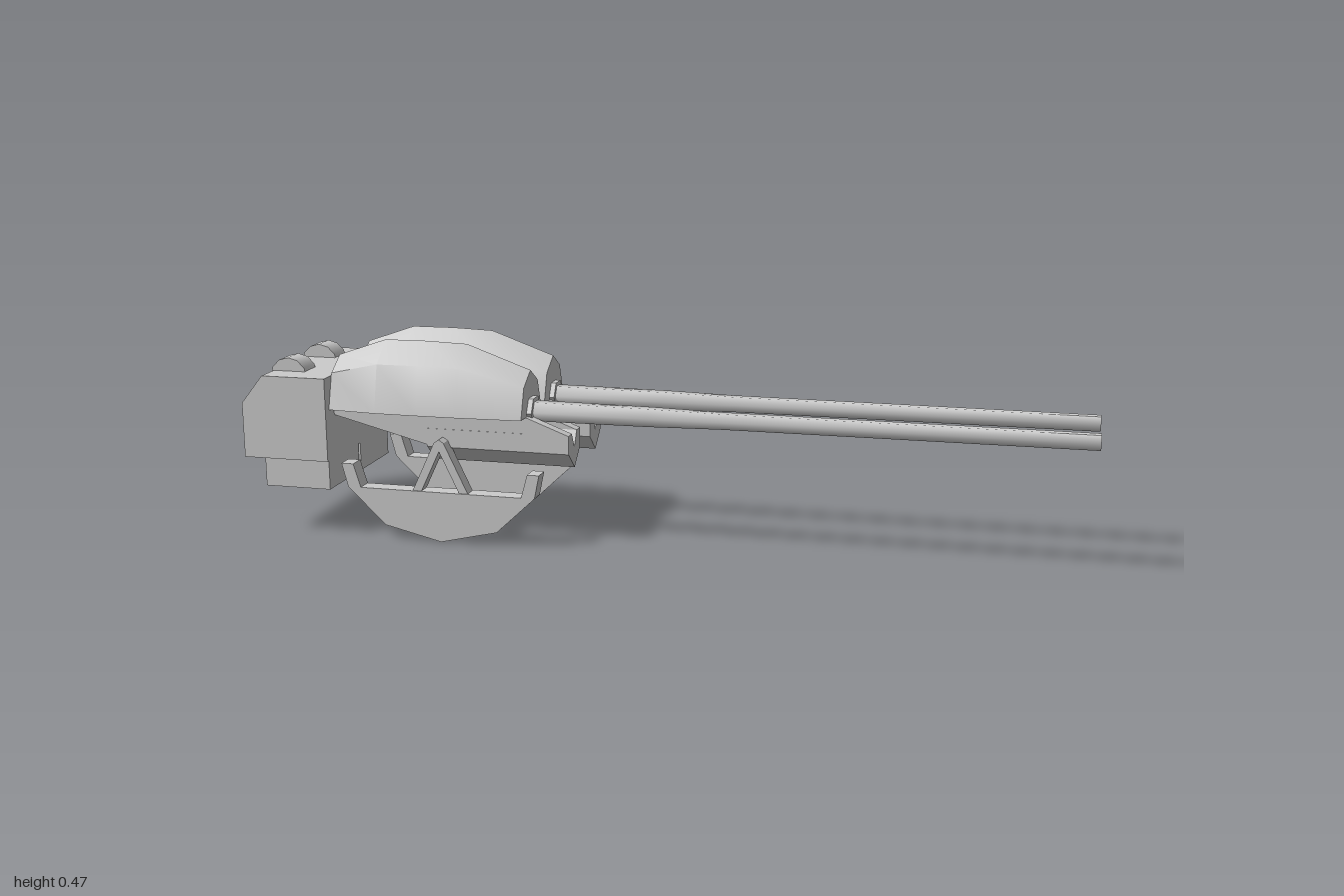
import * as THREE from 'three';
import { toCreasedNormals } from 'three/addons/utils/BufferGeometryUtils.js';

const material = new THREE.MeshStandardMaterial({ color: 0xcccccc });
const GUN_Z = 0.09;
const AXIS_Y = 0.318;

function add(parent, name, geometry, crease = 0.5) {
  const mesh = new THREE.Mesh(toCreasedNormals(geometry, crease), material);
  mesh.name = name;
  parent.add(mesh);
  return mesh;
}

// Side outline in (x, y), extruded from z0 to z1
function plate(points, z0, z1) {
  const shape = new THREE.Shape(points.map(([x, y]) => new THREE.Vector2(x, y)));
  const g = new THREE.ExtrudeGeometry(shape, { depth: z1 - z0, bevelEnabled: false });
  return g.translate(0, 0, z0);
}

// Cross-section in (z, y), extruded along x from x0 to x1
function beam(points, x0, x1) {
  const g = plate(points.map(([z, y]) => [-z, y]), x0, x1);
  return g.rotateY(Math.PI / 2);
}

function box(x0, x1, y0, y1, z0, z1) {
  return new THREE.BoxGeometry(x1 - x0, y1 - y0, z1 - z0)
    .translate((x0 + x1) / 2, (y0 + y1) / 2, (z0 + z1) / 2);
}

// Six-sided turned part along x; profile pairs are (radius, x)
function turned(profile) {
  return new THREE.LatheGeometry(profile.map(([r, x]) => new THREE.Vector2(r, x)), 6)
    .rotateZ(-Math.PI / 2);
}

// Skin a row of closed sections, with fan caps at both ends
function loft(sections) {
  const n = sections[0].length;
  const index = [];
  for (let s = 0; s < sections.length - 1; s++) {
    for (let i = 0; i < n; i++) {
      const a = s * n + i, b = s * n + (i + 1) % n;
      index.push(a, b, b + n, a, b + n, a + n);
    }
  }
  const last = (sections.length - 1) * n;
  for (let i = 1; i < n - 1; i++) {
    index.push(0, i + 1, i, last, last + i, last + i + 1);
  }
  const g = new THREE.BufferGeometry();
  g.setAttribute('position', new THREE.Float32BufferAttribute(sections.flat(2), 3));
  g.setIndex(index);
  return g;
}

// Pentagonal cowl section: floor, shoulders and ridge
function cowlSection([x, peak, shoulderY, shoulderZ, baseZ]) {
  return [[x, 0.31, baseZ], [x, 0.31, -baseZ], [x, shoulderY, -shoulderZ],
    [x, peak, 0], [x, shoulderY, shoulderZ]];
}

function createGun(side) {
  const gun = new THREE.Group();
  gun.name = side > 0 ? 'leftGun' : 'rightGun';
  gun.position.z = side * GUN_Z;

  // Domed cowl
  const rows = [
    [-0.785, 0.43, 0.395, 0.052, 0.076],
    [-0.665, 0.472, 0.423, 0.061, 0.087],
    [-0.56, 0.473, 0.424, 0.062, 0.088],
    [-0.46, 0.47, 0.422, 0.061, 0.087],
    [-0.305, 0.415, 0.382, 0.053, 0.078],
  ];
  add(gun, 'cowl', loft(rows.map(cowlSection)), 0.7);

  // Collar and hollow barrel
  add(gun, 'collar', turned([[0, -0.31], [0.037, -0.31], [0.037, -0.293], [0, -0.293]]))
    .position.y = AXIS_Y;
  add(gun, 'barrel', turned([[0.026, -0.3], [0.0245, -0.02], [0.021, 0.15], [0.02, 1],
    [0.015, 1], [0.013, 0.96], [0, 0.95]]), 1.1).position.y = AXIS_Y;

  // Wedge under the cowl and the notched, keeled trough
  add(gun, 'underbody', plate([[-0.785, 0.31], [-0.785, 0.292], [-0.55, 0.232],
    [-0.305, 0.232], [-0.305, 0.31]], -0.047, 0.047));
  add(gun, 'trough', beam([[-0.048, 0.272], [-0.048, 0.228], [0, 0.186], [0.048, 0.228],
    [0.048, 0.272], [0.02, 0.272], [0, 0.235], [-0.02, 0.272]], -0.55, -0.2));
  for (const s of [-1, 1]) {
    const rail = plate([[-0.31, 0.31], [-0.31, 0.27], [-0.2, 0.27], [-0.2, 0.272],
      [-0.3, 0.31]], -0.014, 0.014);
    add(gun, 'troughRail', rail.translate(0, 0, s * 0.034));
  }
  return gun;
}

function createRocker(side) {
  const rocker = new THREE.Group();
  rocker.name = side > 0 ? 'leftRocker' : 'rightRocker';
  rocker.position.z = side * 0.15;

  // Curved runner with upturned ends
  add(rocker, 'runner', plate([[-0.757, 0.182], [-0.742, 0.125], [-0.65, 0.036],
    [-0.51, 0.003], [-0.37, 0.036], [-0.275, 0.125], [-0.263, 0.182], [-0.292, 0.182],
    [-0.308, 0.125], [-0.71, 0.125], [-0.727, 0.182]], -0.021, 0.021), 0.6);

  // A-frame joining runner and gun
  for (const s of [-1, 1]) {
    const points = [[0, 0.253], [s * 0.012, 0.245], [s * 0.07, 0.123], [s * 0.048, 0.123], [0, 0.224]];
    add(rocker, 'strut', plate(points, -0.017, 0.017).translate(-0.51, 0, 0));
  }
  return rocker;
}

function createRearBlock() {
  const block = new THREE.Group();
  block.name = 'rearBlock';
  const solid = [[-1, 0.187], [-0.785, 0.187], [-0.785, 0.389], [-0.945, 0.389], [-1, 0.32]];
  const slotted = [[-1, 0.187], [-0.785, 0.187], [-0.785, 0.389], [-0.865, 0.389],
    [-0.865, 0.337], [-0.987, 0.337], [-1, 0.32]];

  // Housing in strips, two of them slotted for the wheels
  const edges = [-0.186, -0.12, -0.056, 0.056, 0.12, 0.186];
  for (let i = 0; i < 5; i++) {
    add(block, 'housing', plate(i % 2 ? slotted : solid, edges[i], edges[i + 1]));
  }
  for (const s of [-1, 1]) {
    const wheel = new THREE.CylinderGeometry(0.047, 0.047, 0.058, 12)
      .rotateX(Math.PI / 2).translate(-0.908, 0.374, s * 0.088);
    add(block, 'wheel', wheel, 0.6);
    const z = [s * 0.006, s * 0.18].sort((a, b) => a - b);
    add(block, 'lowerBox', box(-0.95, -0.785, 0.117, 0.187, z[0], z[1]));
  }
  return block;
}

export function createModel() {
  const model = new THREE.Group();
  model.name = 'twinGun';
  model.add(createRearBlock());
  for (const side of [-1, 1]) model.add(createGun(side), createRocker(side));
  return model;
}
